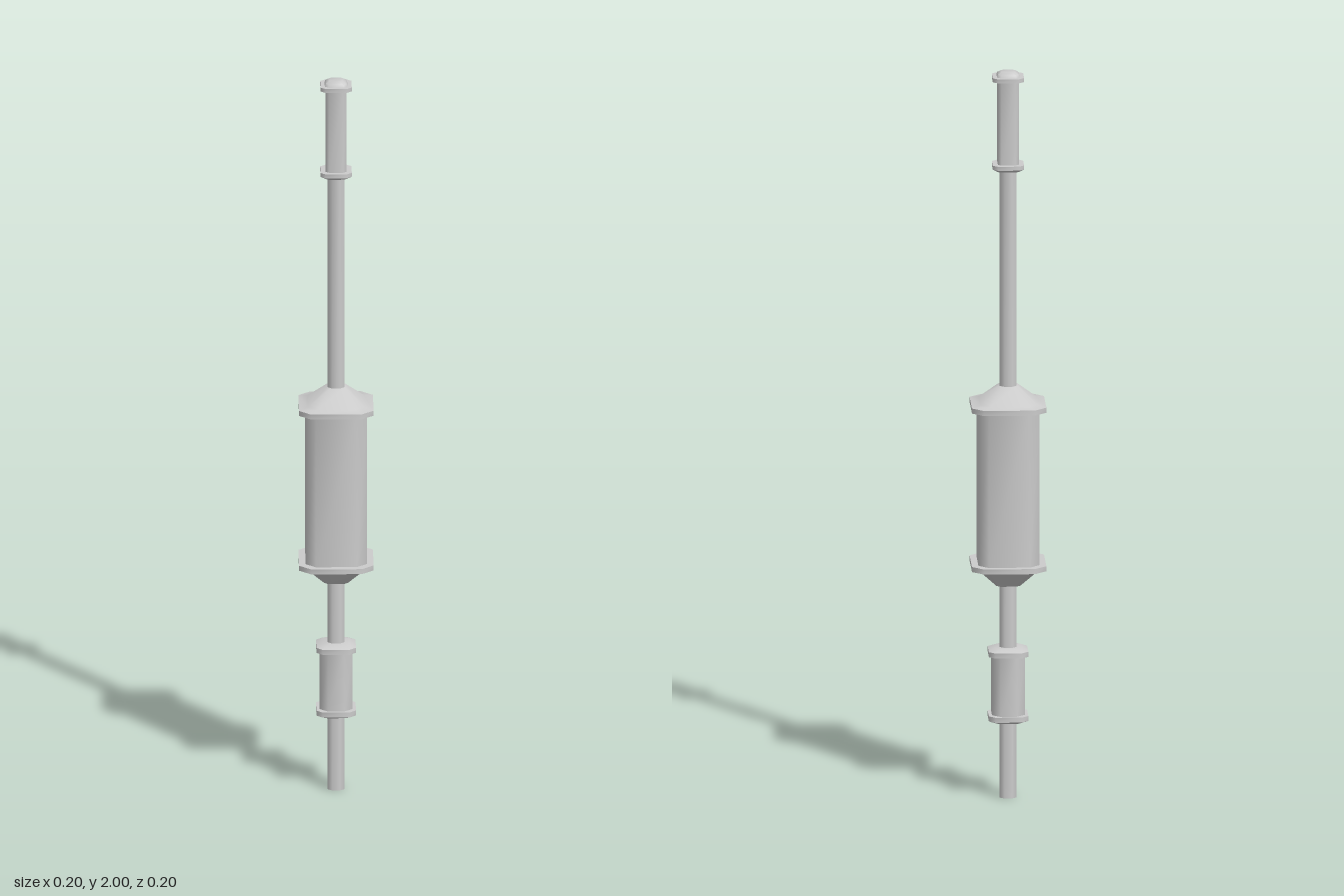
import * as THREE from 'three';
import { toCreasedNormals } from 'three/addons/utils/BufferGeometryUtils.js';

// Closed loft of chamfered squares. Each section is [y, half width];
// chamfer is the flat half length as a share of the half width.
function loft(sections, chamfer = 0.68) {
  const positions = [], index = [];
  const ring = [[1, -chamfer], [1, chamfer], [chamfer, 1], [-chamfer, 1],
    [-1, chamfer], [-1, -chamfer], [-chamfer, -1], [chamfer, -1]];
  const n = ring.length;
  for (const [y, r] of sections) {
    for (const [x, z] of ring) positions.push(x * r, y, z * r);
  }
  for (let s = 0; s < sections.length - 1; s++) {
    for (let i = 0; i < n; i++) {
      const a = s * n + i, b = s * n + (i + 1) % n;
      index.push(a, a + n, b, b, a + n, b + n);
    }
  }
  // end caps
  const top = (sections.length - 1) * n;
  for (let i = 1; i < n - 1; i++) {
    index.push(0, i, i + 1);
    index.push(top, top + i + 1, top + i);
  }
  const geometry = new THREE.BufferGeometry();
  geometry.setAttribute('position', new THREE.Float32BufferAttribute(positions, 3));
  geometry.setIndex(index);
  return toCreasedNormals(geometry, 0.87);
}

export function createModel() {
  const model = new THREE.Group();
  const material = new THREE.MeshStandardMaterial({ color: 0xcccccc });
  const add = (name, sections, chamfer) => {
    const mesh = new THREE.Mesh(loft(sections, chamfer), material);
    mesh.name = name;
    model.add(mesh);
  };

  // Thin rod through the whole length
  add('shaft', [[0, 0.023], [1.98, 0.023]], 0.45);

  // Lower collar: sleeve between two bevelled flanges
  add('lowerSleeve', [[0.22, 0.044], [0.4, 0.044]], 0.5);
  add('lowerSleeveBottomFlange', [[0.208, 0.035], [0.216, 0.053], [0.23, 0.053]]);
  add('lowerSleeveTopFlange', [[0.393, 0.053], [0.407, 0.053], [0.415, 0.035]]);

  // Large central head with sloped ends
  add('headBody', [[0.64, 0.082], [1.08, 0.082]], 0.67);
  add('headBottomFlange', [[0.586, 0.032], [0.631, 0.076], [0.636, 0.1], [0.65, 0.1]]);
  add('headTopFlange', [[1.073, 0.1], [1.087, 0.1], [1.092, 0.076], [1.135, 0.026]]);

  // Upper grip with flanges and domed end
  add('gripBody', [[1.735, 0.028], [1.985, 0.028]]);
  add('gripBottomFlange', [[1.727, 0.03], [1.735, 0.042], [1.746, 0.042]]);
  add('gripTopFlange', [[1.976, 0.042], [1.987, 0.042]]);
  add('endCap', [[1.985, 0.031], [1.994, 0.028], [2, 0.018]]);

  return model;
}
